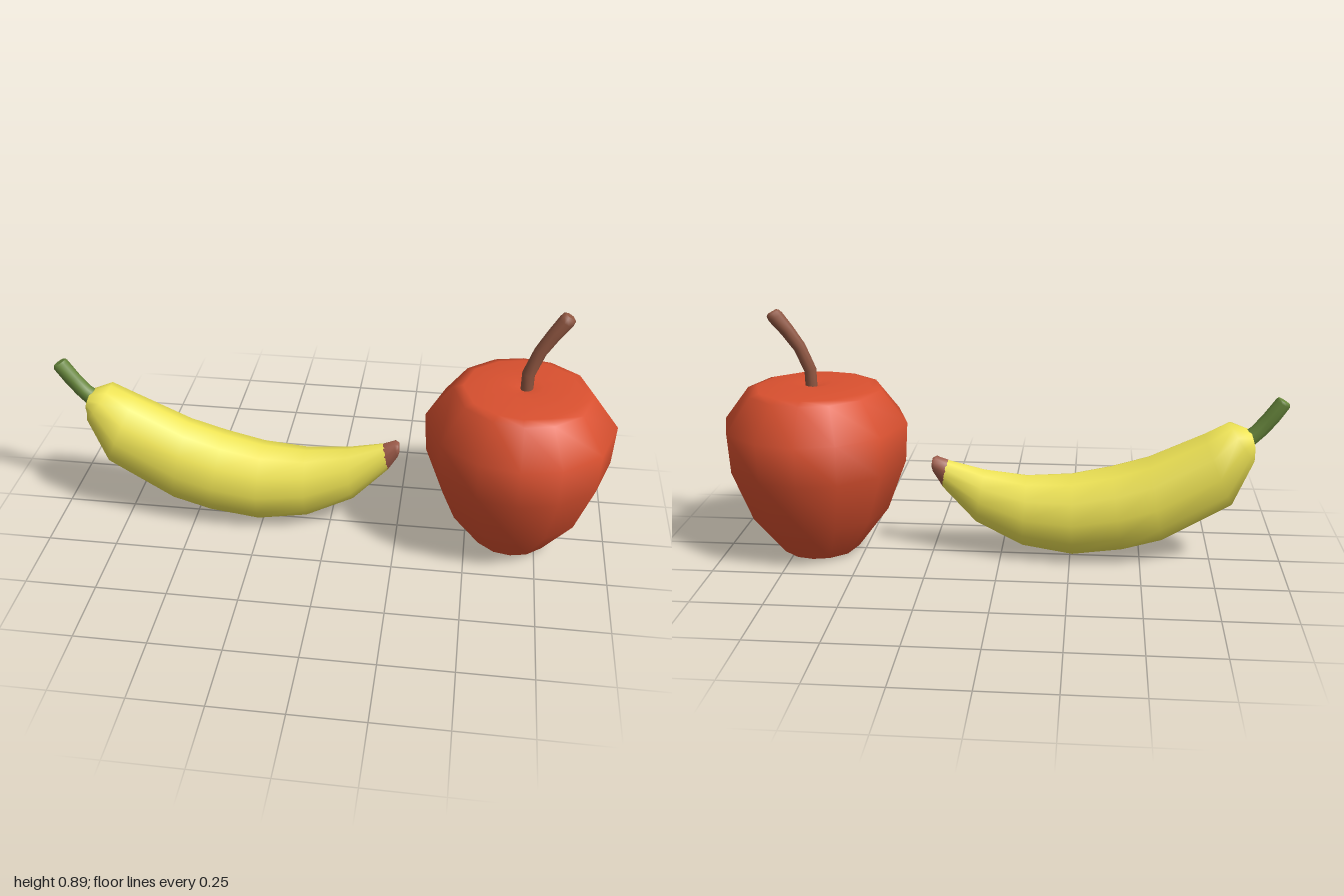
import * as THREE from 'three';

const paint = (color) => new THREE.MeshStandardMaterial({ color, roughness: 0.8 });

function part(name, geometry, material) {
  const mesh = new THREE.Mesh(geometry, material);
  mesh.name = name;
  return mesh;
}

// Skin over elliptical rings [ax, ay, bx, by, halfDepth, z]; a and b are opposite rim points,
// with a on the left of the direction of travel. Both ends are closed by flat fans.
function loft(rings, sides) {
  const pos = [], idx = [];
  const addRing = ([ax, ay, bx, by, w, z = 0]) => {
    const start = pos.length / 3;
    for (let j = 0; j < sides; j++) {
      const t = (j / sides) * Math.PI * 2, c = Math.cos(t) / 2;
      pos.push((ax + bx) / 2 + (ax - bx) * c, (ay + by) / 2 + (ay - by) * c, z + w * Math.sin(t));
    }
    return start;
  };
  const starts = rings.map(addRing);
  for (let i = 0; i + 1 < rings.length; i++) {
    for (let j = 0; j < sides; j++) {
      const k = (j + 1) % sides, p = starts[i], q = starts[i + 1];
      idx.push(p + j, p + k, q + j, p + k, q + k, q + j);
    }
  }
  const first = addRing(rings[0]), last = addRing(rings[rings.length - 1]);
  for (let j = 1; j + 1 < sides; j++) {
    idx.push(first, first + j + 1, first + j, last, last + j, last + j + 1);
  }
  const g = new THREE.BufferGeometry();
  g.setAttribute('position', new THREE.Float32BufferAttribute(pos, 3));
  g.setIndex(idx);
  g.computeVertexNormals();
  return g;
}

function createApple() {
  const apple = new THREE.Group();
  apple.name = 'apple';

  // Twelve-sided body, dimpled at both ends
  const profile = [
    [0, 0.01], [0.06, 0.007], [0.115, 0], [0.14, 0.01], [0.253, 0.16], [0.322, 0.345],
    [0.33, 0.487], [0.24, 0.605], [0.205, 0.615], [0.07, 0.628], [0, 0.612],
  ].map(([x, y]) => new THREE.Vector2(x, y));
  const body = new THREE.LatheGeometry(profile, 12);
  // Gather the sides slightly toward the front and back
  const p = body.attributes.position;
  for (let i = 0; i < p.count; i++) {
    const r = Math.hypot(p.getX(i), p.getZ(i));
    let a = Math.atan2(p.getZ(i), p.getX(i));
    a += 0.11 * Math.sin(2 * a);
    p.setX(i, r * Math.cos(a));
    p.setZ(i, r * Math.sin(a));
  }
  const skin = part('appleBody', body, paint(0xd9502f));
  skin.position.x = 0.665;
  apple.add(skin);

  // Curved stem, wider at its rounded tip
  apple.add(part('appleStem', loft([
    [0.653, 0.59, 0.696, 0.59, 0.022, 0],
    [0.654, 0.68, 0.697, 0.667, 0.022, -0.002],
    [0.688, 0.768, 0.728, 0.745, 0.023, -0.009],
    [0.725, 0.83, 0.768, 0.803, 0.026, -0.017],
    [0.758, 0.88, 0.808, 0.852, 0.029, -0.025],
    [0.769, 0.892, 0.814, 0.867, 0.025, -0.027],
    [0.779, 0.894, 0.809, 0.877, 0.015, -0.028],
  ], 10), paint(0x8e5540)));
  return apple;
}

function createBanana() {
  const banana = new THREE.Group();
  banana.name = 'banana';

  // Curved peel, from the stem end to the tip
  banana.add(part('bananaPeel', loft([
    [-0.85, 0.488, -0.885, 0.445, 0.035],
    [-0.87, 0.488, -0.888, 0.425, 0.05],
    [-0.795, 0.515, -0.89, 0.38, 0.085],
    [-0.71, 0.472, -0.82, 0.215, 0.117],
    [-0.52, 0.382, -0.58, 0.075, 0.132],
    [-0.39, 0.342, -0.44, 0.035, 0.135],
    [-0.25, 0.31, -0.26, 0.01, 0.129],
    [-0.09, 0.3, -0.08, 0.037, 0.108],
    [0.06, 0.318, 0.09, 0.12, 0.076],
    [0.195, 0.352, 0.213, 0.25, 0.034],
  ], 12), paint(0xf0e555)));

  // Brown blossom tip
  banana.add(part('bananaTip', loft([
    [0.19, 0.352, 0.212, 0.248, 0.034],
    [0.232, 0.366, 0.246, 0.308, 0.031],
    [0.246, 0.358, 0.249, 0.322, 0.024],
  ], 10), paint(0x9c5a48)));

  // Green stem
  banana.add(part('bananaStem', loft([
    [-0.885, 0.435, -0.835, 0.475, 0.032],
    [-0.925, 0.475, -0.872, 0.503, 0.028],
    [-0.963, 0.522, -0.91, 0.55, 0.027],
    [-0.998, 0.575, -0.948, 0.603, 0.029],
    [-0.997, 0.585, -0.955, 0.61, 0.023],
  ], 10), paint(0x68873c)));
  return banana;
}

export function createModel() {
  const model = new THREE.Group();
  model.name = 'fruit';
  model.add(createApple(), createBanana());
  return model;
}
